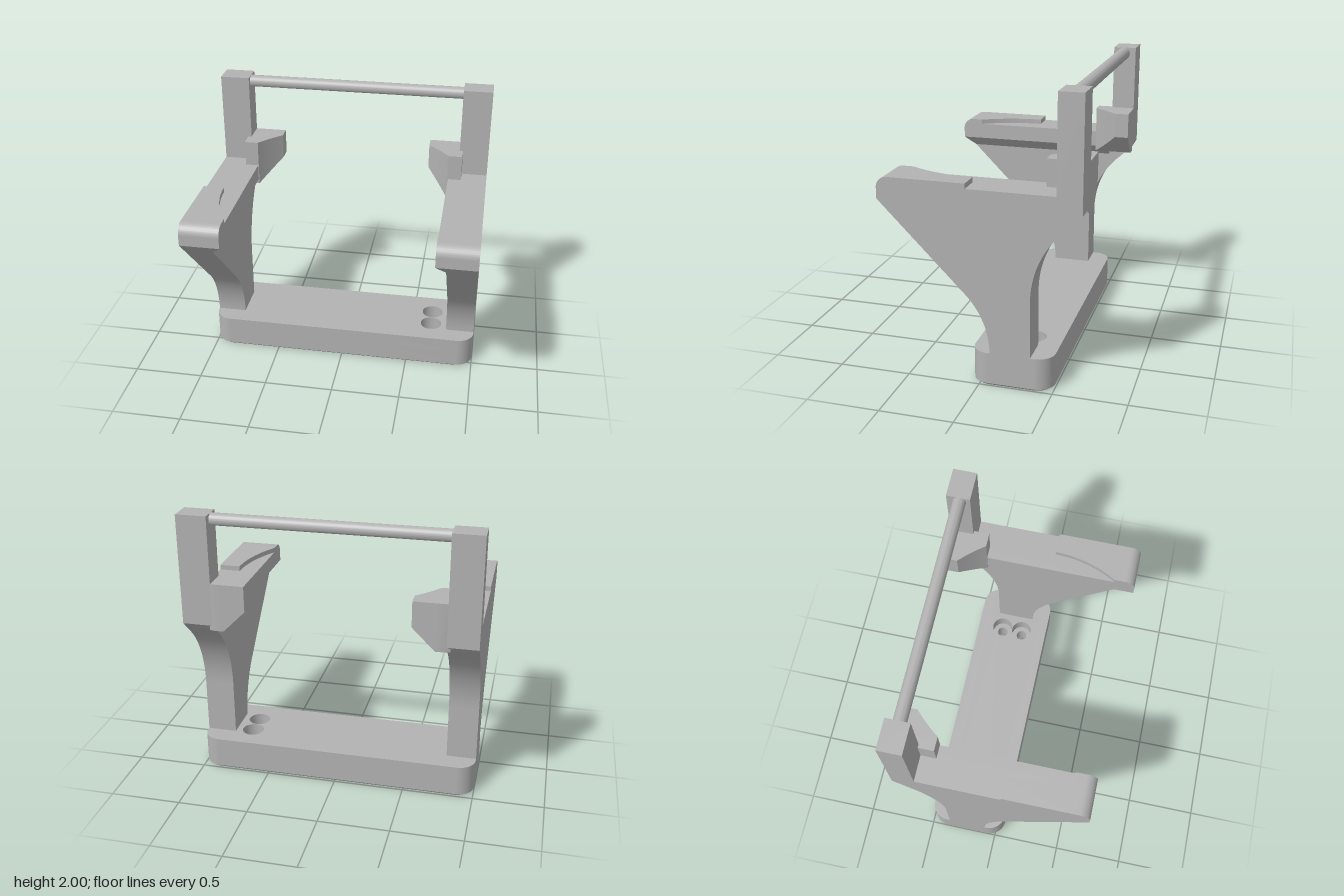
import * as THREE from 'three';
import { toCreasedNormals } from 'three/addons/utils/BufferGeometryUtils.js';

const grey = new THREE.MeshStandardMaterial({ color: 0xb2b2b2 });
grey.name = 'plain grey';

const PI = Math.PI;

function addMesh(parent, name, geometry) {
  const mesh = new THREE.Mesh(toCreasedNormals(geometry, 0.5), grey);
  mesh.name = name;
  parent.add(mesh);
}

function extrude(shape, depth) {
  return new THREE.ExtrudeGeometry(shape, { depth, bevelEnabled: false, curveSegments: 20 });
}

// Shape drawn in (z, y), spanning x0..x1
const sideProfile = (shape, x0, x1) =>
  extrude(shape, x1 - x0).rotateY(-PI / 2).translate(x1, 0, 0);

// Shape drawn in (x, -z), spanning y0..y1
const planProfile = (shape, y0, y1) =>
  extrude(shape, y1 - y0).rotateX(-PI / 2).translate(0, y0, 0);

const polygon = (points) => new THREE.Shape(points.map(([x, y]) => new THREE.Vector2(x, y)));

// Applies fn(v) to every vertex
function moveVertices(geometry, fn) {
  const p = geometry.attributes.position;
  const v = new THREE.Vector3();
  for (let i = 0; i < p.count; i++) {
    v.fromBufferAttribute(p, i);
    fn(v);
    p.setXYZ(i, v.x, v.y, v.z);
  }
  return geometry;
}

// Reflects in x and turns every triangle round so it still faces outward
function mirrorX(geometry) {
  const g = geometry.index ? geometry.toNonIndexed() : geometry.clone();
  g.scale(-1, 1, 1);
  const p = g.attributes.position;
  const a = new THREE.Vector3(), b = new THREE.Vector3();
  for (let i = 0; i < p.count; i += 3) {
    a.fromBufferAttribute(p, i + 1);
    b.fromBufferAttribute(p, i + 2);
    p.setXYZ(i + 1, b.x, b.y, b.z);
    p.setXYZ(i + 2, a.x, a.y, a.z);
  }
  return g;
}

// Base block: stacked layers with screw holes and a shallow recess below
function buildBase() {
  const base = new THREE.Group();
  base.name = 'base';
  const cz = -0.2175, hz = 0.2775, r = 0.12;

  function layer(y0, y1, holeRadius, recess) {
    const s = new THREE.Shape();
    const top = -cz + hz, bottom = -cz - hz;
    s.absarc(1 - r, bottom + r, r, -PI / 2, 0);
    s.absarc(1 - r, top - r, r, 0, PI / 2);
    s.absarc(r - 1, top - r, r, PI / 2, PI);
    s.absarc(r - 1, bottom + r, r, PI, 1.5 * PI);
    for (const z of [-0.3, -0.14]) {
      s.holes.push(new THREE.Path().absarc(0.67, -z, holeRadius, 0, 2 * PI, true));
    }
    if (recess) {
      s.holes.push(polygon([[-0.95, -cz - 0.225], [-0.95, -cz + 0.225],
        [0.53, -cz + 0.225], [0.53, -cz - 0.225]]));
    }
    return planProfile(s, y0, y1);
  }

  const chamfered = moveVertices(layer(0, 0.015, 0.04, true), (v) => {
    const outer = Math.abs(v.x) > 0.96 || Math.abs(v.z - cz) > 0.23;
    if (outer && v.y < 0.001) {
      v.x *= 0.985;
      v.z = cz + (v.z - cz) * 0.946;
    }
  });
  addMesh(base, 'baseBottomChamfer', chamfered);
  addMesh(base, 'baseRecessLayer', layer(0.015, 0.04, 0.04, true));
  addMesh(base, 'baseMiddle', layer(0.04, 0.13, 0.04, false));
  addMesh(base, 'baseTop', layer(0.13, 0.235, 0.078, false));
  return base;
}

// Parts of the left arm, as [name, geometry]
function armParts() {
  // Rounded front lip and the stepped top, shared by the leg and the rail
  const lip = (s) => {
    s.lineTo(0.68, 1.235);
    s.absarc(0.605, 1.31, 0.075, 0, PI / 2);
    s.lineTo(0.53, 1.385);
    s.lineTo(0.53, 1.35);
  };

  const leg = new THREE.Shape();
  leg.moveTo(-0.35, 0.235);
  leg.lineTo(-0.075, 0.235);
  leg.absarc(0.488, 0.24, 0.563, PI, 0.75 * PI, true);
  lip(leg);
  leg.lineTo(-0.515, 1.35);
  leg.lineTo(-0.515, 2);
  leg.lineTo(-0.68, 2);
  leg.lineTo(-0.68, 1.235);
  leg.absarc(-1.03, 0.63, 0.68, PI / 4, 0, true);

  const rail = new THREE.Shape();
  rail.moveTo(-0.5, 1.235);
  lip(rail);
  rail.lineTo(-0.5, 1.35);

  // Sloped strip under the rail, its front end cut along the leg's slope
  const strip = extrude(polygon([[0.72, 1.235], [0.79, 1.16], [0.79, 1.235]]), 1.18);
  strip.translate(0, 0, -0.5);
  moveVertices(strip, (v) => { if (v.z > 0) v.z -= 1.235 - v.y; });

  // Thin raised pad with a concave inner edge
  const pad = new THREE.Shape();
  pad.moveTo(1, -0.53);
  pad.lineTo(1, -0.075);
  pad.lineTo(0.85, -0.075);
  pad.absarc(-0.01, -0.075, 0.86, 0, -Math.asin(0.455 / 0.86), true);

  // Rear stop: a block and an inward lip with a sloped underside
  const block = polygon([[0.715, 0.405], [0.815, 0.405], [0.815, 0.67], [0.79, 0.68], [0.715, 0.68]]);
  const hook = new THREE.Shape();
  hook.moveTo(0.715, 0.405);
  hook.lineTo(0.715, 0.68);
  hook.lineTo(0.56, 0.68);
  hook.lineTo(0.56, 0.58);
  hook.quadraticCurveTo(0.655, 0.49, 0.715, 0.405);
  const hookGeometry = moveVertices(planProfile(hook, 1.2, 1.535), (v) => {
    if (v.y < 1.3) v.y += 0.715 - v.x;
  });

  return [
    ['leg', sideProfile(leg, 0.79, 1)],
    ['rail', sideProfile(rail, 0.72, 0.79)],
    ['railUnderside', strip],
    ['raisedPad', planProfile(pad, 1.35, 1.385)],
    ['stopBlock', planProfile(block, 1.2, 1.535)],
    ['stopLip', hookGeometry],
  ];
}

// Round crossbar with a flat underside
function barGeometry() {
  const s = new THREE.Shape();
  const a = Math.asin(0.03 / 0.045);
  s.absarc(-0.59, 1.955, 0.045, -a, PI + a);
  return sideProfile(s, -0.795, 0.795);
}

export function createModel() {
  const model = new THREE.Group();
  model.name = 'cradleStand';
  model.add(buildBase());

  const left = new THREE.Group(), right = new THREE.Group();
  left.name = 'leftArm';
  right.name = 'rightArm';
  for (const [name, geometry] of armParts()) {
    addMesh(left, name, geometry);
    addMesh(right, name, mirrorX(geometry));
  }
  model.add(left, right);

  addMesh(model, 'crossbar', barGeometry());
  return model;
}
